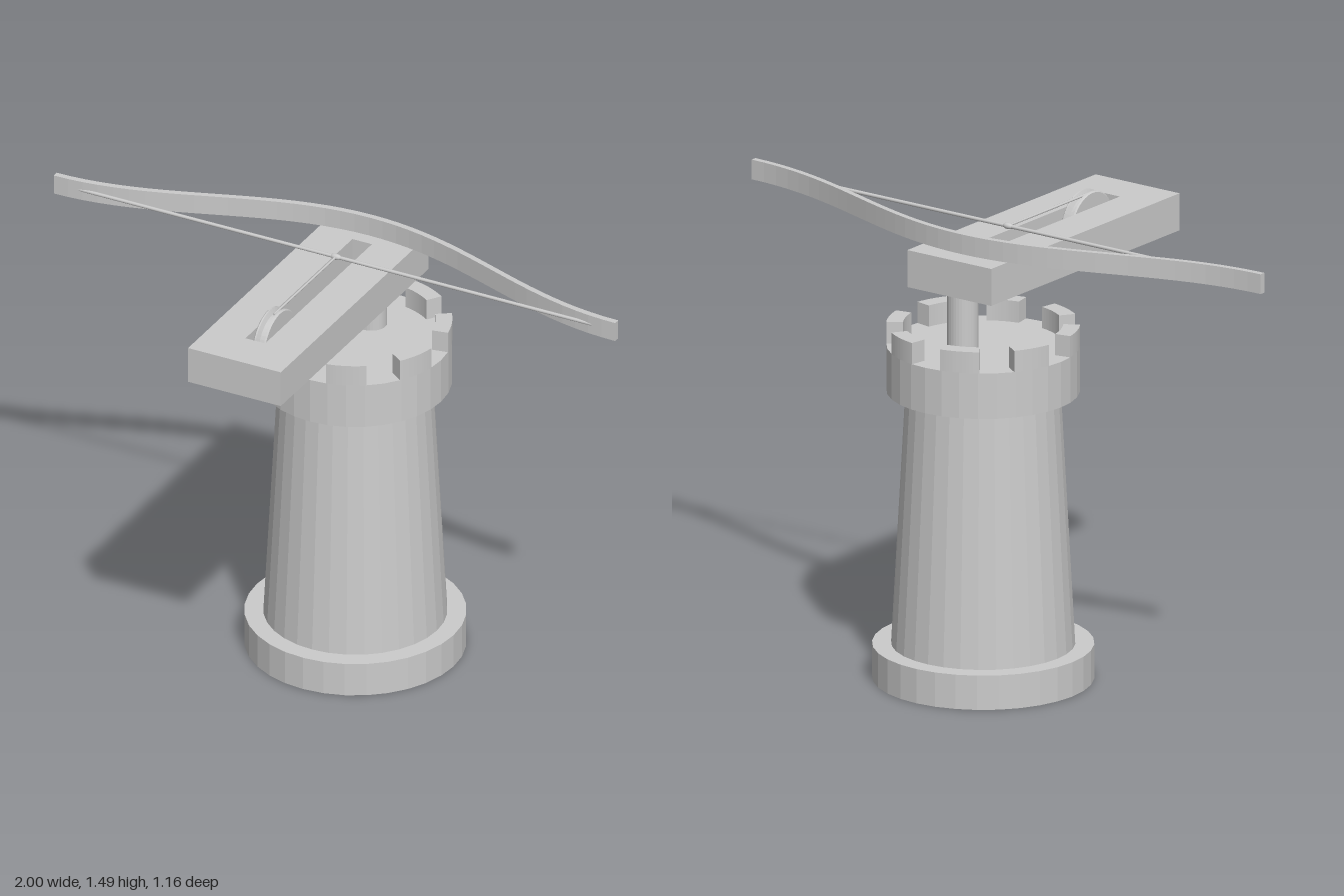
import * as THREE from 'three';

const SIDES = 32;
const TOWER_Z = -0.23;

export function createModel() {
  const model = new THREE.Group();
  const flat = new THREE.MeshStandardMaterial({ color: 0xcccccc, flatShading: true });
  const smooth = new THREE.MeshStandardMaterial({ color: 0xcccccc });

  const add = (name, geometry, x, y, z, material = flat, parent = model) => {
    const mesh = new THREE.Mesh(geometry, material);
    mesh.name = name;
    mesh.position.set(x, y, z);
    parent.add(mesh);
    return mesh;
  };
  // Upright disc or drum between two heights
  const drum = (name, rTop, rBottom, y0, y1, z) =>
    add(name, new THREE.CylinderGeometry(rTop, rBottom, y1 - y0, SIDES), 0, (y0 + y1) / 2, z);
  // Plan outline (x, z) extruded upward from y = 0
  const slab = (shape, height) => new THREE.ExtrudeGeometry(shape, { depth: height, bevelEnabled: false, curveSegments: 6 })
    .rotateX(Math.PI / 2).translate(0, height, 0);
  const rect = (Type, x, z0, z1) => new Type([[-x, z0], [x, z0], [x, z1], [-x, z1]].map(p => new THREE.Vector2(...p)));

  // Tower
  drum('towerBase', 0.35, 0.35, 0, 0.113, TOWER_Z);
  drum('towerShaft', 0.245, 0.29, 0.113, 0.945, TOWER_Z);
  drum('towerCrown', 0.305, 0.305, 0.945, 1.095, TOWER_Z);

  // Eight battlements around the crown
  const battlements = new THREE.Group();
  battlements.name = 'battlements';
  battlements.position.set(0, 1.095, TOWER_Z);
  model.add(battlements);
  const half = THREE.MathUtils.degToRad(12);
  const merlon = new THREE.Shape();
  merlon.absarc(0, 0, 0.305, -half, half, false);
  merlon.absarc(0, 0, 0.252, half, -half, true);
  const merlonGeometry = slab(merlon, 0.07);
  for (let i = 0; i < 8; i++) {
    add('battlement', merlonGeometry, 0, 0, 0, flat, battlements).rotation.y = (i + 0.5) * Math.PI / 4;
  }

  // Post and slotted stock
  drum('post', 0.05, 0.05, 1.095, 1.3, -0.337);
  const stock = rect(THREE.Shape, 0.165, -0.408, 0.58);
  stock.holes.push(rect(THREE.Path, 0.035, -0.275, 0.44));
  add('stock', slab(stock, 0.122), 0, 1.298, 0);

  // Bow limbs: a band following a cosine curve
  const bowZ = x => -0.1 - 0.115 * (1 + Math.cos(Math.PI * x));
  const front = [], back = [];
  for (let i = 0; i <= 40; i++) {
    const x = -1 + i / 20;
    front.push(new THREE.Vector2(x, bowZ(x) + 0.01));
    back.unshift(new THREE.Vector2(x, bowZ(x) - 0.01));
  }
  add('bow', slab(new THREE.Shape([...front, ...back]), 0.065), 0, 1.42, 0);

  // Grooved pulley on its axle
  const pulley = new THREE.Group();
  pulley.name = 'pulley';
  pulley.position.set(0, 1.355, 0.315);
  pulley.rotation.z = Math.PI / 2;
  model.add(pulley);
  const profile = [[0, -0.022], [0.106, -0.022], [0.11, -0.018], [0.11, -0.013], [0.094, -0.006],
    [0.094, 0.006], [0.11, 0.013], [0.11, 0.018], [0.106, 0.022], [0, 0.022]];
  add('pulleyWheel', new THREE.LatheGeometry(profile.map(p => new THREE.Vector2(...p)), 48), 0, 0, 0, flat, pulley);
  add('pulleyAxle', new THREE.CylinderGeometry(0.025, 0.025, 0.072, 20), 0, 0, 0, smooth, pulley);

  // Bowstring, draw cord and the knot joining them
  const cordY = 1.453;
  add('bowstring', new THREE.CylinderGeometry(0.006, 0.006, 1.94, 10), 0, cordY, -0.1, smooth).rotation.z = Math.PI / 2;
  add('drawCord', new THREE.CylinderGeometry(0.004, 0.004, 0.415, 10), 0, cordY, 0.1075, smooth).rotation.x = Math.PI / 2;
  add('knot', new THREE.SphereGeometry(0.01, 16, 10), 0, cordY, -0.1, smooth).scale.x = 2;

  return model;
}
